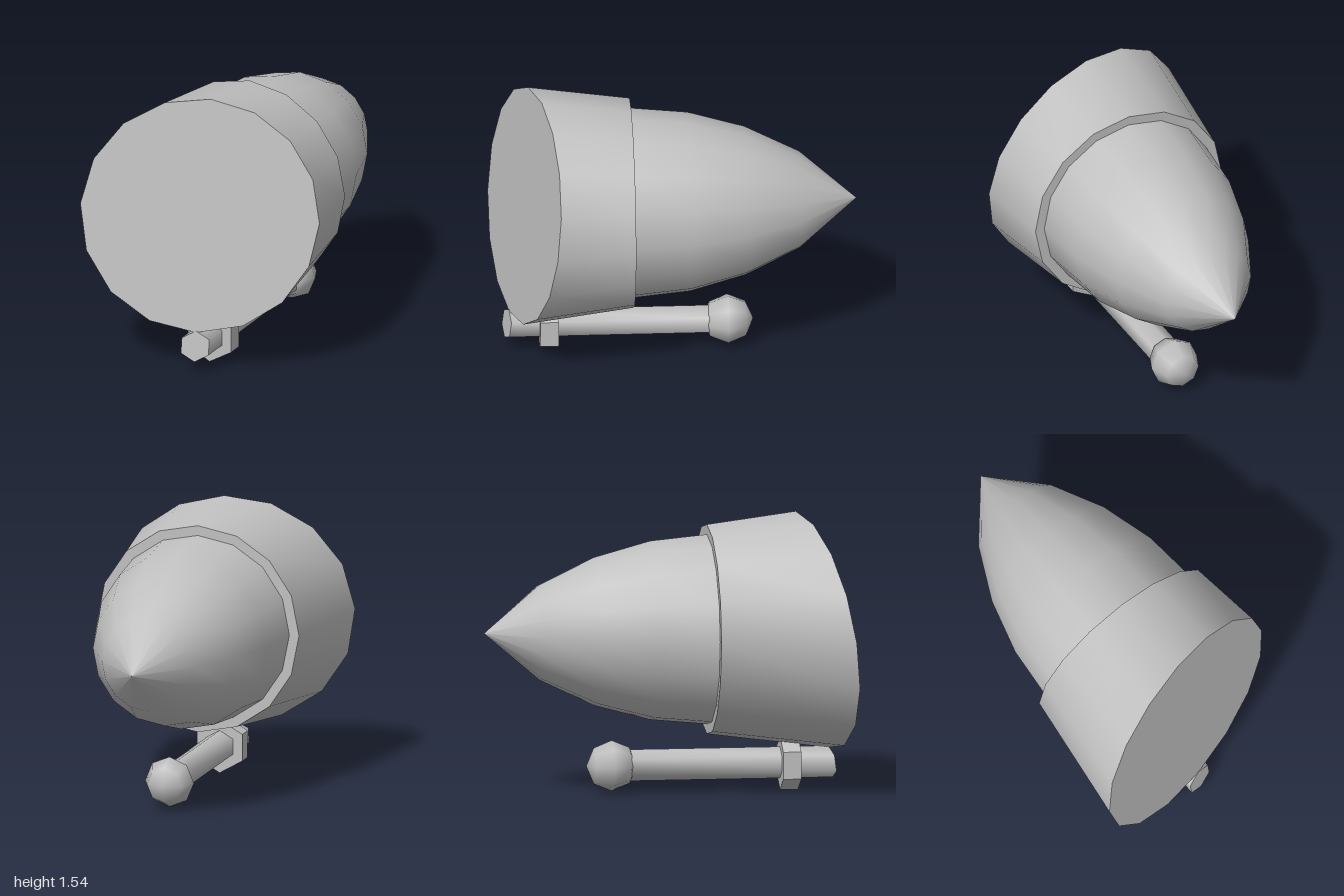
import * as THREE from 'three';

const CX = 0.018, CY = 0.897;

// ring of points around an axis along z; slant gives z from the angle
function ring(n, cy, phase, rAt, zAt) {
  return Array.from({ length: n }, (_, i) => {
    const a = phase + (i / n) * Math.PI * 2;
    const z = zAt(a), r = rAt(z);
    return [CX + r * Math.cos(a), cy + r * Math.sin(a), z];
  });
}

// smooth skin through rings ordered from back to front
function loft(rings) {
  const n = rings[0].length, index = [];
  for (let k = 0; k < rings.length - 1; k++) {
    for (let i = 0; i < n; i++) {
      const j = (i + 1) % n, a = k * n, b = a + n;
      index.push(a + i, a + j, b + j, a + i, b + j, b + i);
    }
  }
  const g = new THREE.BufferGeometry();
  g.setAttribute('position', new THREE.Float32BufferAttribute(rings.flat(2), 3));
  g.setIndex(index);
  g.computeVertexNormals();
  return g;
}

// flat cap over one ring, facing front or back
function cap(points, back) {
  const index = [];
  for (let i = 1; i < points.length - 1; i++) index.push(0, back ? i + 1 : i, back ? i : i + 1);
  const g = new THREE.BufferGeometry();
  g.setAttribute('position', new THREE.Float32BufferAttribute(points.flat(), 3));
  g.setIndex(index);
  g.computeVertexNormals();
  return g;
}

export function createModel() {
  const model = new THREE.Group();
  const grey = new THREE.MeshStandardMaterial({ color: 0xc0c0c0 });
  grey.name = 'grey';
  const add = (name, geometry) => {
    const mesh = new THREE.Mesh(geometry, grey);
    mesh.name = name;
    model.add(mesh);
    return mesh;
  };

  // tilt of the front plane
  const tilt = a => 0.23 * Math.cos(a) + 0.137 * Math.sin(a);

  // pointed shell
  const profile = [[0, -1], [0.265, -0.69], [0.41, -0.39], [0.495, -0.08], [0.525, 0.235]];
  add('shell', loft(profile.map(([r, z]) => ring(16, CY, 0, () => r, () => z))));

  // flared hood cut by the tilted plane
  const hoodBack = ring(16, CY, 0, () => 0.58, () => 0.235);
  const hoodFront = ring(16, CY, 0, z => 0.58 + 0.13 * (z - 0.235),
    a => (0.8154 - 0.5495 * tilt(a)) / (1 + 0.13 * tilt(a)));
  add('hood', loft([hoodBack, hoodFront]));
  add('hoodStep', cap(hoodBack, true));
  add('frontPlate', cap(hoodFront, false));

  // six-sided rod below, with the same tilted end
  const rodBack = ring(6, 0.152, Math.PI / 2, () => 0.087, () => -0.22);
  const rodFront = ring(6, 0.152, Math.PI / 2, () => 0.087, a => 0.92 - 0.087 * tilt(a));
  add('rod', loft([rodBack, rodFront]));
  add('rodEnd', cap(rodFront, false));

  // ball at the back of the rod
  const ball = new THREE.SphereGeometry(0.14, 8, 4);
  ball.rotateX(Math.PI / 2);
  add('ball', ball).position.set(CX, 0.152, -0.293);

  // faceted collar joining rod and hood
  const collar = new THREE.CylinderGeometry(0.15, 0.15, 0.1, 6).toNonIndexed();
  collar.rotateX(Math.PI / 2);
  collar.computeVertexNormals();
  add('collar', collar).position.set(CX, 0.15, 0.69);

  return model;
}
